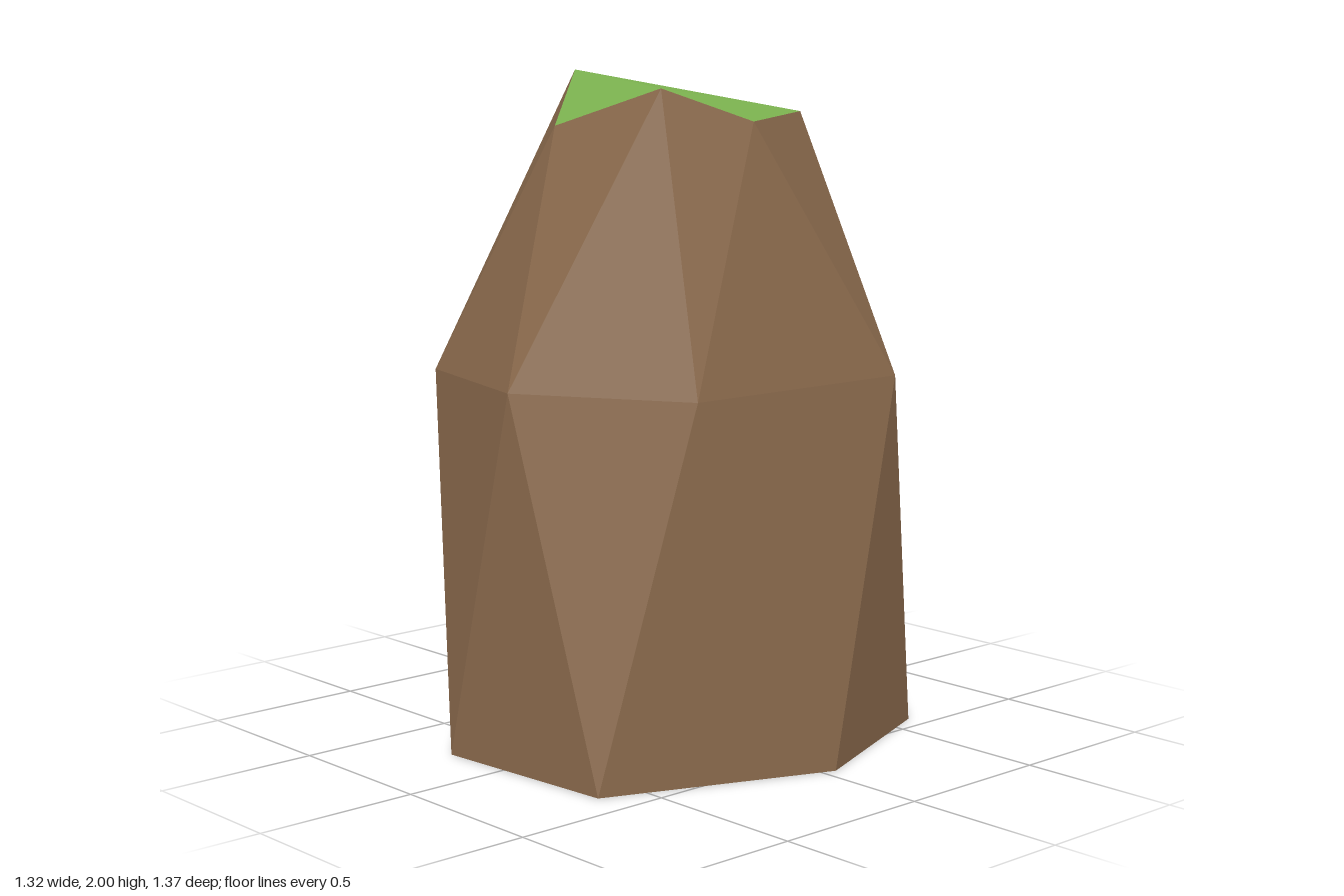
import * as THREE from 'three';

// Three irregular six-sided rings, ordered anticlockwise seen from above
const bottomRing = [[-0.66, 0, 0.05], [-0.225, 0, 0.683], [0.385, 0, 0.635], [0.655, 0, -0.043], [0.435, 0, -0.597], [-0.375, 0, -0.633]];
const middleRing = [[-0.497, 1.11, 0.515], [0.03, 1.11, 0.66], [0.517, 1.11, 0.378], [0.53, 1.11, -0.41], [-0.13, 1.11, -0.687], [-0.485, 1.11, -0.5]];
const topRing = [[-0.393, 2, 0.045], [-0.095, 1.85, 0.375], [0.28, 1.965, 0.3], [0.367, 1.867, 0.022], [0.18, 1.88, -0.355], [-0.24, 1.9, -0.342]];

// Flat-shaded mesh from a list of triangles (each three points)
function facetedMesh(name, triangles, material) {
  const geometry = new THREE.BufferGeometry();
  geometry.setAttribute('position', new THREE.Float32BufferAttribute(triangles.flat(2), 3));
  geometry.computeVertexNormals();
  const mesh = new THREE.Mesh(geometry, material);
  mesh.name = name;
  return mesh;
}

export function createModel() {
  const brown = new THREE.MeshStandardMaterial({ color: 0x8d6c4e });
  brown.name = 'earthBrown';
  const green = new THREE.MeshStandardMaterial({ color: 0x7db450 });
  green.name = 'grassGreen';

  // Sides: zigzag bands of triangles, each ring twisted half a step
  const sides = [];
  for (let i = 0; i < 6; i++) {
    const j = (i + 1) % 6;
    sides.push([bottomRing[i], bottomRing[j], middleRing[i]]);
    sides.push([bottomRing[j], middleRing[j], middleRing[i]]);
    sides.push([middleRing[i], topRing[j], topRing[i]]);
    sides.push([middleRing[i], middleRing[j], topRing[j]]);
  }

  // Flat underside
  const base = [];
  for (let i = 1; i < 5; i++) base.push([bottomRing[0], bottomRing[i + 1], bottomRing[i]]);

  // Uneven grassy top
  const cap = [[0, 1, 2], [2, 3, 4], [0, 2, 4], [0, 4, 5]].map((t) => t.map((i) => topRing[i]));

  const model = new THREE.Group();
  model.name = 'rockPillar';
  model.add(
    facetedMesh('rockSides', sides, brown),
    facetedMesh('rockBase', base, brown),
    facetedMesh('grassTop', cap, green),
  );
  return model;
}
